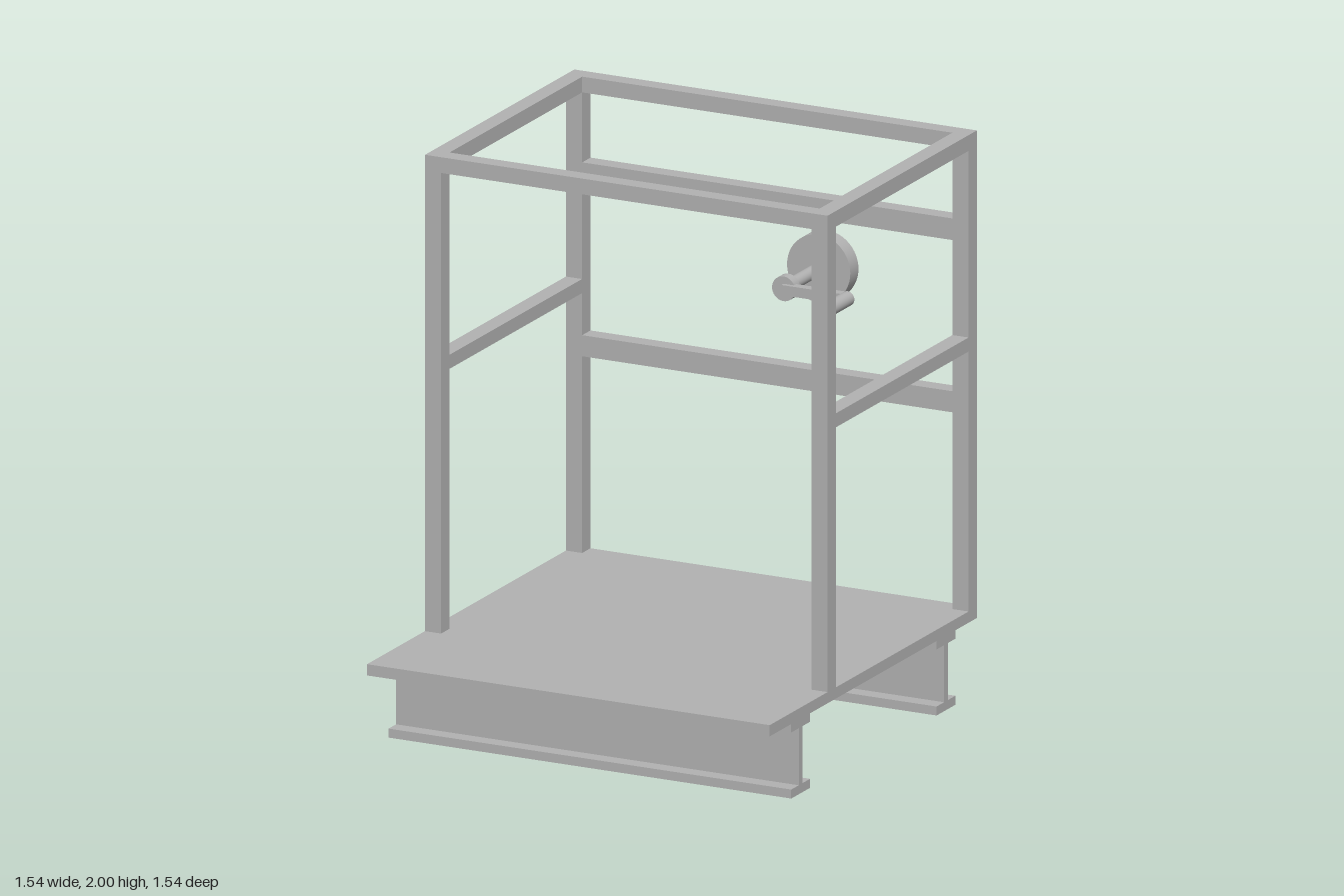
import * as THREE from 'three';

export function createModel() {
  const model = new THREE.Group();
  model.name = 'craneCabinFrame';
  const steel = new THREE.MeshStandardMaterial({ color: 0xb2b2b2 });
  steel.name = 'greySteel';

  const add = (name, geometry, parent = model) => {
    const mesh = new THREE.Mesh(geometry, steel);
    mesh.name = name;
    parent.add(mesh);
    return mesh;
  };
  // box given by its limits on each axis
  const box = (name, x0, x1, y0, y1, z0, z1, parent) =>
    add(name, new THREE.BoxGeometry(x1 - x0, y1 - y0, z1 - z0)
      .translate((x0 + x1) / 2, (y0 + y1) / 2, (z0 + z1) / 2), parent);
  // round bar along z
  const rod = (name, x, y, r, z0, z1, parent) =>
    add(name, new THREE.CylinderGeometry(r, r, z1 - z0, 48)
      .rotateX(Math.PI / 2).translate(x, y, (z0 + z1) / 2), parent);

  const W = 0.77, IN = 0.708;          // outer and inner half width
  const ZB = -0.77, ZF = 0.34, T = 0.062;
  const DECK = 0.305, TOP = 1.944;

  // deck plate
  box('deck', -W, W, 0.265, DECK, -W, W);

  // I-beams under the deck, extruded along x
  const half = [[0.07, 0], [0.07, 0.032], [0.014, 0.032], [0.014, 0.235], [0.07, 0.235], [0.07, 0.265]];
  const outline = [...half, ...half.map(([a, b]) => [-a, b]).reverse()];
  const section = new THREE.Shape(outline.map(([a, b]) => new THREE.Vector2(a, b)));
  for (const z of [0.54, -0.54]) {
    const beam = new THREE.ExtrudeGeometry(section, { depth: 2 * W, bevelEnabled: false });
    beam.translate(0, 0, -W).rotateY(Math.PI / 2).translate(0, 0, z);
    add(z > 0 ? 'frontBeam' : 'rearBeam', beam);
  }

  // posts, top side bars and side rails
  for (const s of [-1, 1]) {
    const side = s > 0 ? 'left' : 'right';
    const x0 = s > 0 ? IN : -W, x1 = s > 0 ? W : -IN;
    box(side + 'FrontPost', x0, x1, DECK, TOP, ZF - T, ZF);
    box(side + 'RearPost', x0, x1, DECK, TOP, ZB, ZB + T);
    box(side + 'TopBar', x0, x1, TOP, 2, ZB, ZF);
    box(side + 'SideRail', x0, x1, 1.23, 1.28, ZB + T, ZF - T);
  }

  // cross bars
  box('frontTopBar', -IN, IN, TOP, 2, ZF - T, ZF);
  box('rearTopBar', -IN, IN, TOP, 2, ZB, ZB + T);
  box('upperRearRail', -IN, IN, 1.618, 1.695, ZB, ZB + T);
  box('lowerRearRail', -IN, IN, 1.005, 1.08, ZB, ZB + T);

  // hand crank
  const crank = new THREE.Group();
  crank.name = 'handCrank';
  model.add(crank);
  const cx = 0.228, cy = 1.465;
  rod('wheel', cx, cy, 0.121, -0.708, -0.647, crank);
  rod('rearStub', cx, cy, 0.023, -0.765, -0.708, crank);
  rod('shaft', cx, cy, 0.023, -0.647, -0.42, crank);
  rod('hub', cx, cy, 0.044, -0.423, -0.386, crank);
  box('crankArm', cx, 0.473, cy - 0.018, cy + 0.018, -0.403, -0.37, crank);
  rod('handle', 0.473, cy, 0.026, -0.386, -0.232, crank);

  return model;
}
